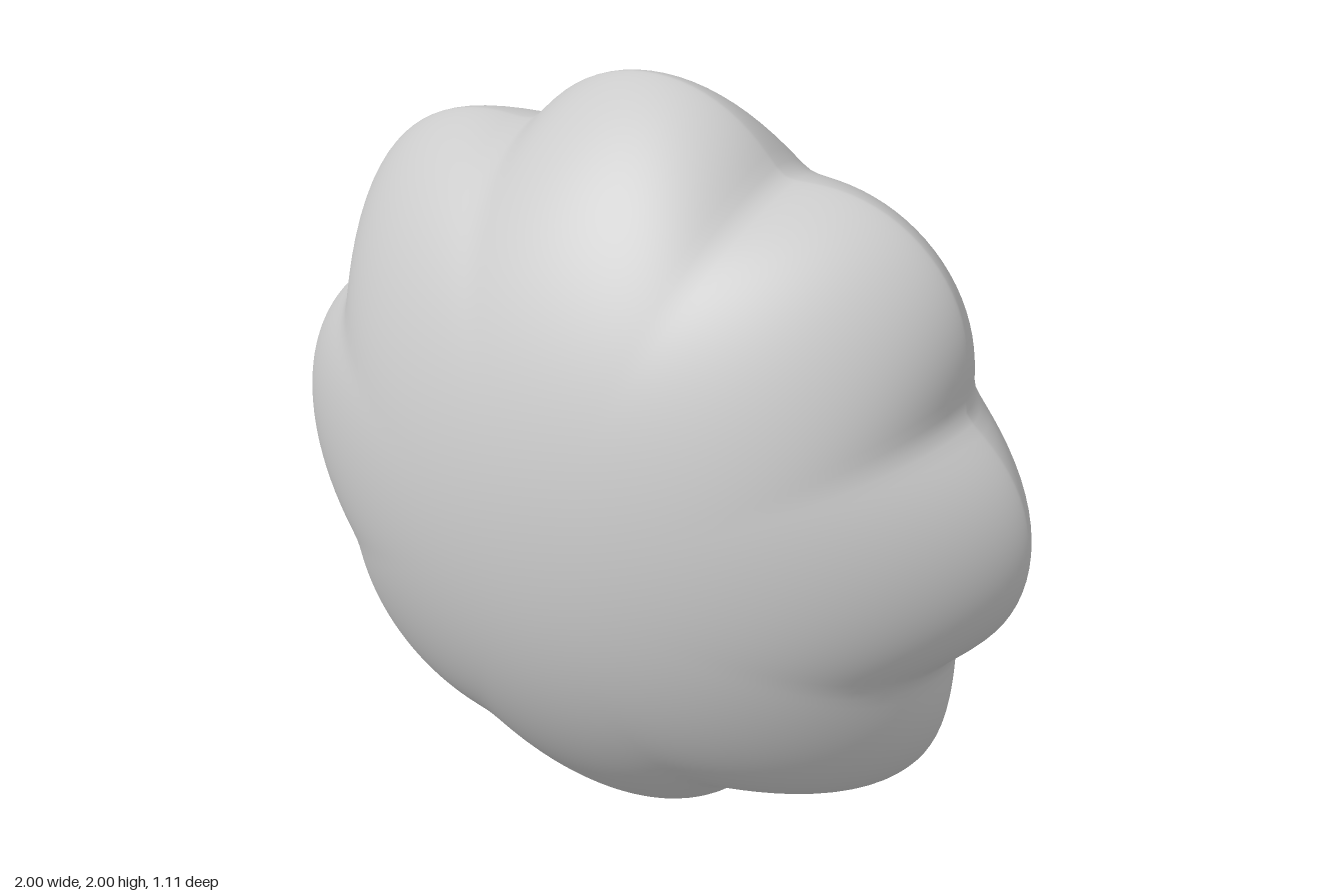
import * as THREE from 'three';
import { mergeVertices } from 'three/addons/utils/BufferGeometryUtils.js';

const LOBES = 8;
const HALF = Math.PI / LOBES;
const RIM_Z = -0.05; // plane of the widest outline
const FRONT = 0.605, BACK = 0.505; // dome heights from that plane

// Outline radius: a ring of circular petals with slightly softened notches
function outline(angle) {
  const step = 2 * HALF;
  const fold = Math.abs(angle - step * Math.round(angle / step));
  const a = HALF - Math.hypot(HALF - fold, 0.035);
  const d = 0.63, r = 0.37;
  return d * Math.cos(a) + Math.sqrt(r * r - (d * Math.sin(a)) ** 2);
}

export function createModel() {
  const group = new THREE.Group();
  group.name = 'flowerCushion';

  // Unit sphere with its poles facing front and back
  let geo = new THREE.SphereGeometry(1, 192, 100);
  geo.rotateX(Math.PI / 2);
  geo.deleteAttribute('uv');
  geo.deleteAttribute('normal');

  // Flatten it into a dome on each side; the petals fade towards the middle
  const pos = geo.attributes.position;
  for (let i = 0; i < pos.count; i++) {
    const x = pos.getX(i), y = pos.getY(i), z = pos.getZ(i);
    const t = Math.min(1, Math.hypot(x, y));
    const scale = 1 - (1 - outline(Math.atan2(y, x))) * t ** 4;
    const rise = Math.abs(z) < 1e-6 ? 0 : Math.max(0, 1 - t ** 2.1) ** 0.7;
    pos.setXYZ(i, x * scale, 1 + y * scale, RIM_Z + (z > 0 ? FRONT : -BACK) * rise);
  }
  geo = mergeVertices(geo, 1e-5);
  geo.computeVertexNormals();

  const body = new THREE.Mesh(geo, new THREE.MeshStandardMaterial({ color: 0xcccccc }));
  body.name = 'petalledBody';
  group.add(body);
  return group;
}
